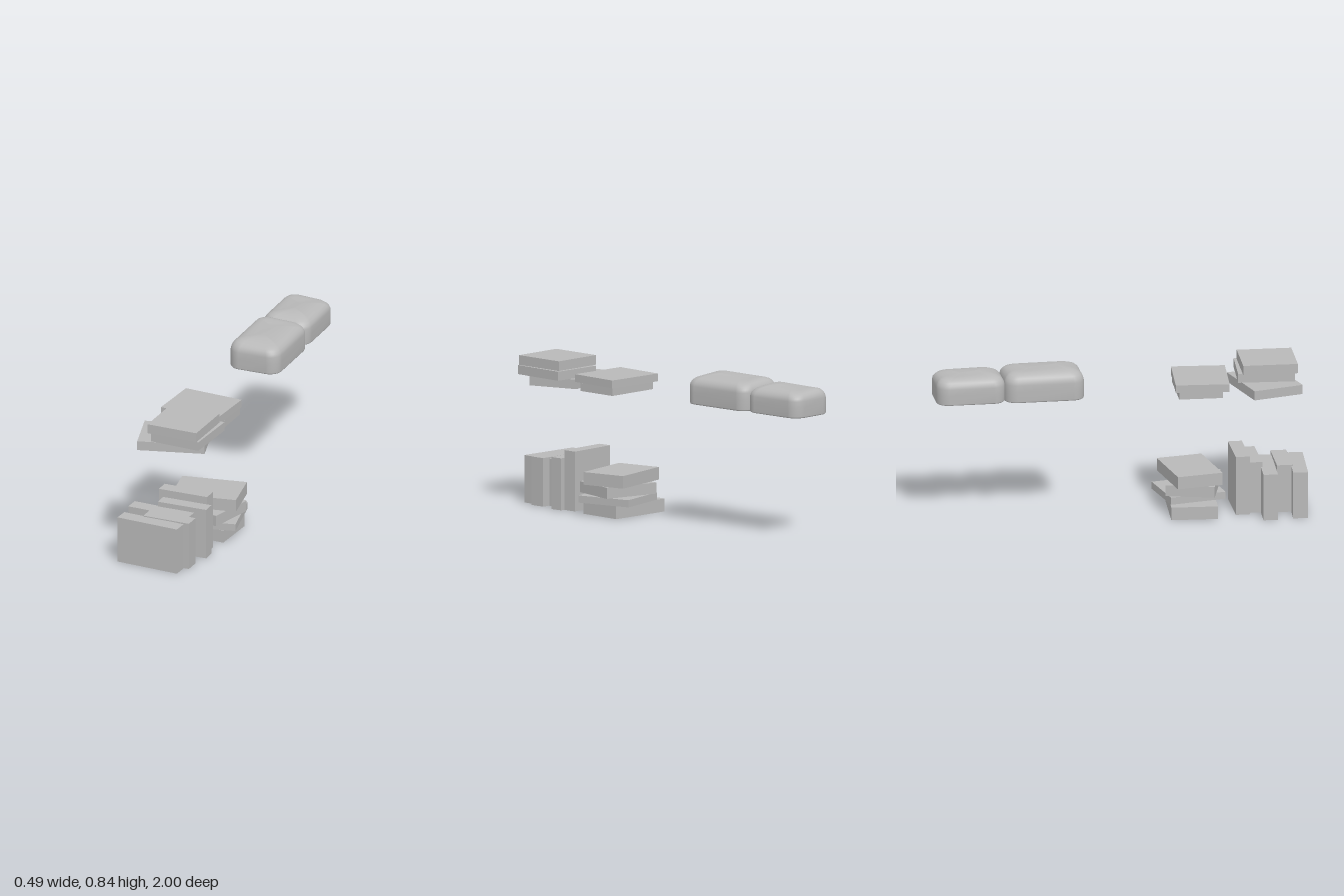
import * as THREE from 'three';

const grey = new THREE.MeshStandardMaterial({ color: 0xb8b8b8 });
grey.name = 'plain grey';

// One book: centre x/z, bottom and top height, width, depth, turn about y
function book(name, x, z, y0, y1, w, d, turn = 0) {
  const mesh = new THREE.Mesh(new THREE.BoxGeometry(w, y1 - y0, d), grey);
  mesh.name = name;
  mesh.position.set(x, (y0 + y1) / 2, z);
  mesh.rotation.y = turn;
  return mesh;
}

function pile(name, rows) {
  const group = new THREE.Group();
  group.name = name;
  rows.forEach((r, i) => group.add(book(`${name}Book${i + 1}`, ...r)));
  return group;
}

// Soft cushion lofted from inset rounded-rectangle rings, [inset, height]
function cushion(name, w, d, h) {
  const profile = [
    [0.13, 0], [0.09, 0], [0.05, 0], [0.025, 0], [0.011, 0.004], [0.003, 0.02], [0, 0.06],
    [0, 0.4], [0, 0.62], [0.004, 0.73], [0.012, 0.82], [0.025, 0.9],
    [0.045, 0.95], [0.07, 0.98], [0.1, 0.99], [0.13, 1],
  ];
  const perCorner = 10, n = perCorner * 4;
  const pos = [], index = [];
  const wave = (x, z, t) => t > 0.6 ? 0.006 * (t - 0.6) / 0.4 * Math.sin(x * 14 + z * 19) : 0;
  const addPoint = (x, t, z) => pos.push(x, t * h + wave(x, z, t), z);
  for (const [inset, t] of profile) {
    const r = Math.max(0.065 - inset * 0.45, 0.008);
    const hx = w / 2 - inset - r, hz = d / 2 - inset - r;
    for (let c = 0; c < 4; c++) {
      const sx = c === 0 || c === 3 ? 1 : -1, sz = c < 2 ? 1 : -1;
      for (let k = 0; k < perCorner; k++) {
        const a = (c + k / (perCorner - 1)) * Math.PI / 2;
        addPoint(sx * Math.max(hx, 0) + r * Math.cos(a), t, sz * hz + r * Math.sin(a));
      }
    }
  }
  for (let j = 0; j < profile.length - 1; j++) {
    for (let i = 0; i < n; i++) {
      const a = j * n + i, b = j * n + (i + 1) % n;
      index.push(a, a + n, b, b, a + n, b + n);
    }
  }
  // Caps
  const last = (profile.length - 1) * n, bottom = pos.length / 3;
  addPoint(0, 0, 0);
  addPoint(0, 1, 0);
  for (let i = 0; i < n; i++) {
    const k = (i + 1) % n;
    index.push(bottom, i, k, bottom + 1, last + k, last + i);
  }
  const geo = new THREE.BufferGeometry();
  geo.setAttribute('position', new THREE.Float32BufferAttribute(pos, 3));
  geo.setIndex(index);
  geo.computeVertexNormals();
  const mesh = new THREE.Mesh(geo, grey);
  mesh.name = name;
  return mesh;
}

export function createModel() {
  const model = new THREE.Group();
  model.name = 'booksAndCushions';

  // Row of standing books, front to back
  model.add(pile('standingRow', [
    [-0.057, 0.948, 0, 0.256, 0.356, 0.08, -0.07],
    [0.02, 0.872, 0, 0.262, 0.266, 0.085, -0.02],
    [-0.067, 0.782, 0, 0.254, 0.353, 0.078, -0.05],
    [0.04, 0.715, 0, 0.281, 0.28, 0.07],
    [0.015, 0.641, 0, 0.323, 0.28, 0.075],
  ]));

  // Lower stack lying flat behind the row
  model.add(pile('lowerStack', [
    [0.0075, 0.385, 0, 0.07, 0.36, 0.25, -0.06],
    [0.064, 0.378, 0.07, 0.109, 0.3, 0.31, 0.2],
    [0.039, 0.398, 0.109, 0.169, 0.315, 0.264, -0.256],
    [0.036, 0.379, 0.169, 0.237, 0.355, 0.25, 0.17],
  ]));

  // Two upper stacks
  model.add(pile('upperFrontStack', [
    [0.01, 0.78, 0.66, 0.711, 0.363, 0.28, 0.265],
    [0.09, 0.79, 0.711, 0.76, 0.283, 0.305, -0.065],
    [0.072, 0.803, 0.76, 0.812, 0.286, 0.293, -0.03],
  ]));
  model.add(pile('upperBackStack', [
    [0.025, 0.42, 0.66, 0.703, 0.31, 0.235, -0.03],
    [0.014, 0.433, 0.703, 0.745, 0.335, 0.288, -0.075],
  ]));

  // Pair of soft cushions
  const front = cushion('frontCushion', 0.29, 0.43, 0.16);
  front.position.set(0.031, 0.675, -0.42);
  const back = cushion('backCushion', 0.272, 0.37, 0.147);
  back.position.set(0.03, 0.675, -0.815);
  model.add(front, back);
  return model;
}
